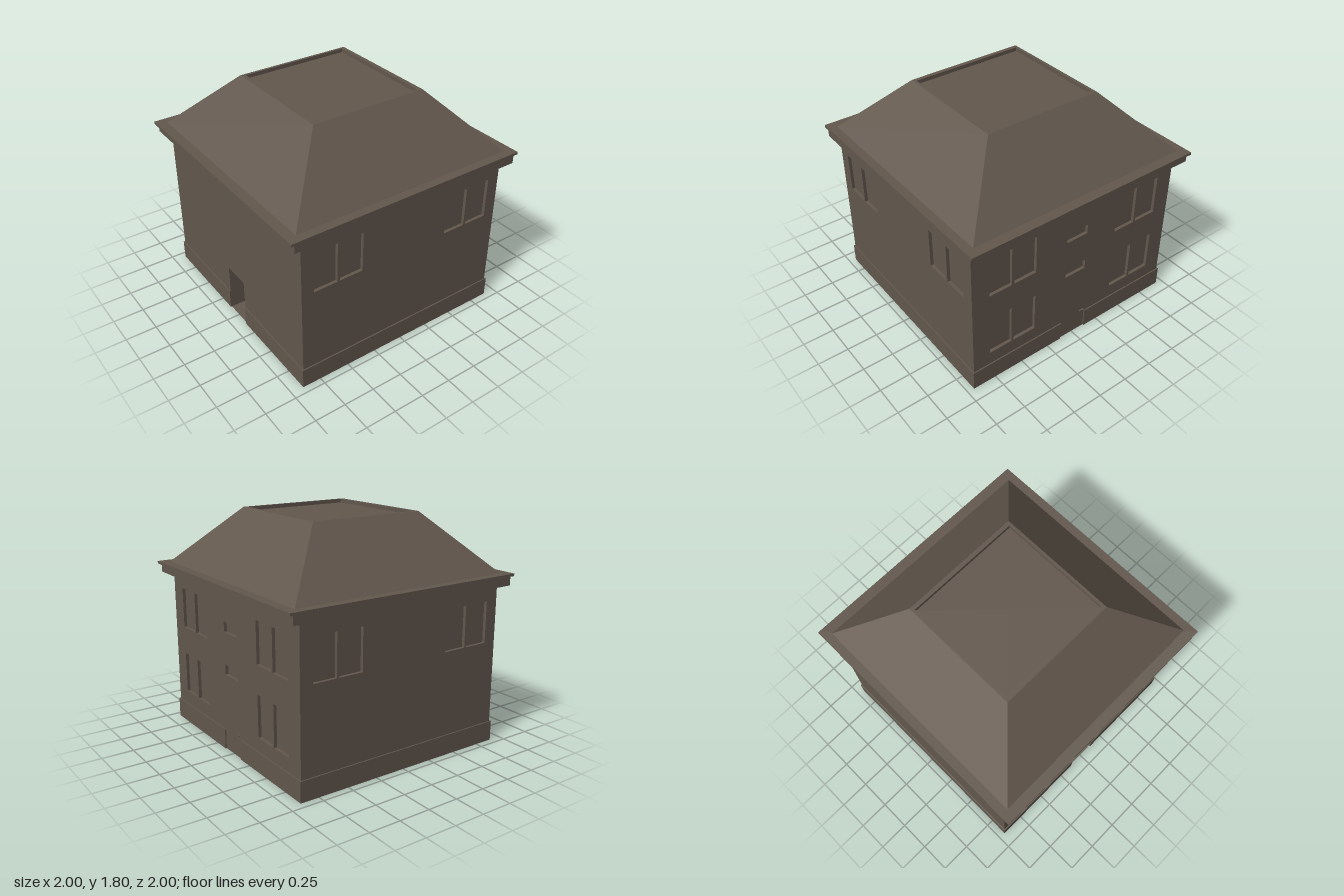
import * as THREE from 'three';

const WALL_X = 0.89, WALL_Z = 0.935, PLINTH = 0.16, WALL_TOP = 1.26;
const DOOR_HALF = 0.12, DOOR_TOP = 0.4;

// Box without its front face: a recess set back from a wall
function recessGeometry(w, h, d) {
  const g = new THREE.BoxGeometry(w, h, d);
  const index = Array.from(g.index.array);
  index.splice(24, 6);
  g.setIndex(index);
  g.clearGroups();
  return g;
}

// Skin through a stack of rectangles given as [halfX, halfZ, y]
function ringGeometry(rings) {
  const corner = ([x, z, y], i) => [[x, y, z], [x, y, -z], [-x, y, -z], [-x, y, z]][i % 4];
  const pos = [];
  for (let r = 0; r < rings.length - 1; r++) {
    for (let i = 0; i < 4; i++) {
      const a = corner(rings[r], i), b = corner(rings[r], i + 1);
      const c = corner(rings[r + 1], i + 1), d = corner(rings[r + 1], i);
      pos.push(...a, ...b, ...c, ...a, ...c, ...d);
    }
  }
  const g = new THREE.BufferGeometry();
  g.setAttribute('position', new THREE.Float32BufferAttribute(pos, 3));
  g.computeVertexNormals();
  return g;
}

export function createModel() {
  const house = new THREE.Group();
  house.name = 'house';
  const stone = new THREE.MeshStandardMaterial({ color: 0x62574d, side: THREE.DoubleSide });
  stone.name = 'brown stone';

  const add = (parent, name, geometry, x = 0, y = 0, z = 0) => {
    const mesh = new THREE.Mesh(geometry, stone);
    mesh.name = name;
    mesh.position.set(x, y, z);
    parent.add(mesh);
    return mesh;
  };
  const box = (parent, name, x0, x1, y0, y1, z0, z1) =>
    add(parent, name, new THREE.BoxGeometry(x1 - x0, y1 - y0, z1 - z0),
      (x0 + x1) / 2, (y0 + y1) / 2, (z0 + z1) / 2);

  // One wall, built facing +z and turned into place; openings are [x0, x1, y0, y1, depth, name]
  function wall(name, half, distance, angle, openings, doorway) {
    const side = new THREE.Group();
    side.name = name;
    side.rotation.y = angle;
    house.add(side);
    const outline = [[-half, PLINTH]];
    if (doorway) {
      outline.push([-DOOR_HALF, PLINTH], [-DOOR_HALF, DOOR_TOP],
        [DOOR_HALF, DOOR_TOP], [DOOR_HALF, PLINTH]);
    }
    outline.push([half, PLINTH], [half, WALL_TOP], [-half, WALL_TOP]);
    const shape = new THREE.Shape(outline.map(p => new THREE.Vector2(...p)));
    for (const [x0, x1, y0, y1, depth, label] of openings) {
      shape.holes.push(new THREE.Path([[x0, y0], [x0, y1], [x1, y1], [x1, y0]]
        .map(p => new THREE.Vector2(...p))));
      add(side, label, recessGeometry(x1 - x0, y1 - y0, depth),
        (x0 + x1) / 2, (y0 + y1) / 2, distance - depth / 2);
    }
    add(side, 'wallFace', new THREE.ShapeGeometry(shape), 0, 0, distance);

    // Plinth band, broken at a doorway
    const end = half + 0.01, z0 = distance, z1 = distance + 0.01;
    if (doorway) {
      for (const s of [-1, 1]) {
        const a = s * end, b = s * DOOR_HALF;
        box(side, 'plinth', Math.min(a, b), Math.max(a, b), 0, PLINTH, z0, z1);
      }
    } else box(side, 'plinth', -end, end, 0, PLINTH, z0, z1);
    return side;
  }

  // Two pairs of windows, mirrored about the middle of the wall
  const windowRow = (y0, y1) => [[-0.79, -0.595], [-0.575, -0.38], [0.38, 0.575], [0.595, 0.79]]
    .map(([a, b]) => [a, b, y0, y1, 0.025, 'window']);
  const upper = windowRow(0.825, 1.15), lower = windowRow(0.27, 0.6);
  const vents = [[0.95, 1.03], [0.615, 0.695]]
    .map(([a, b]) => [-0.095, 0.095, a, b, 0.025, 'stairWindow']);

  wall('frontWall', WALL_X, WALL_Z, 0, upper, false);
  wall('backWall', WALL_X, WALL_Z, Math.PI, upper, false);
  const left = wall('leftWall', WALL_Z, WALL_X, Math.PI / 2, [...upper, ...lower, ...vents], true);
  const right = wall('rightWall', WALL_Z, WALL_X, -Math.PI / 2, [], true);

  // Flush door with a handle on one side, recessed porch on the other
  box(left, 'door', -DOOR_HALF, DOOR_HALF, 0, DOOR_TOP, WALL_X - 0.005, WALL_X);
  box(left, 'doorHandle', 0.07, 0.11, 0.182, 0.187, WALL_X, WALL_X + 0.012);
  add(right, 'porch', recessGeometry(2 * DOOR_HALF, DOOR_TOP, 0.12),
    0, DOOR_TOP / 2, WALL_X - 0.06);

  // Cornice and eave
  box(house, 'cornice', -0.97, 0.97, WALL_TOP, 1.33, -0.99, 0.99);
  box(house, 'eave', -1, 1, 1.33, 1.35, -1, 1);

  // Hipped roof with a sunken flat top
  add(house, 'roof', ringGeometry([
    [0.92, 0.932, 1.35], [0.478, 0.485, 1.805], [0.445, 0.463, 1.805],
    [0.445, 0.463, 1.775], [0, 0, 1.775],
  ]));

  return house;
}
